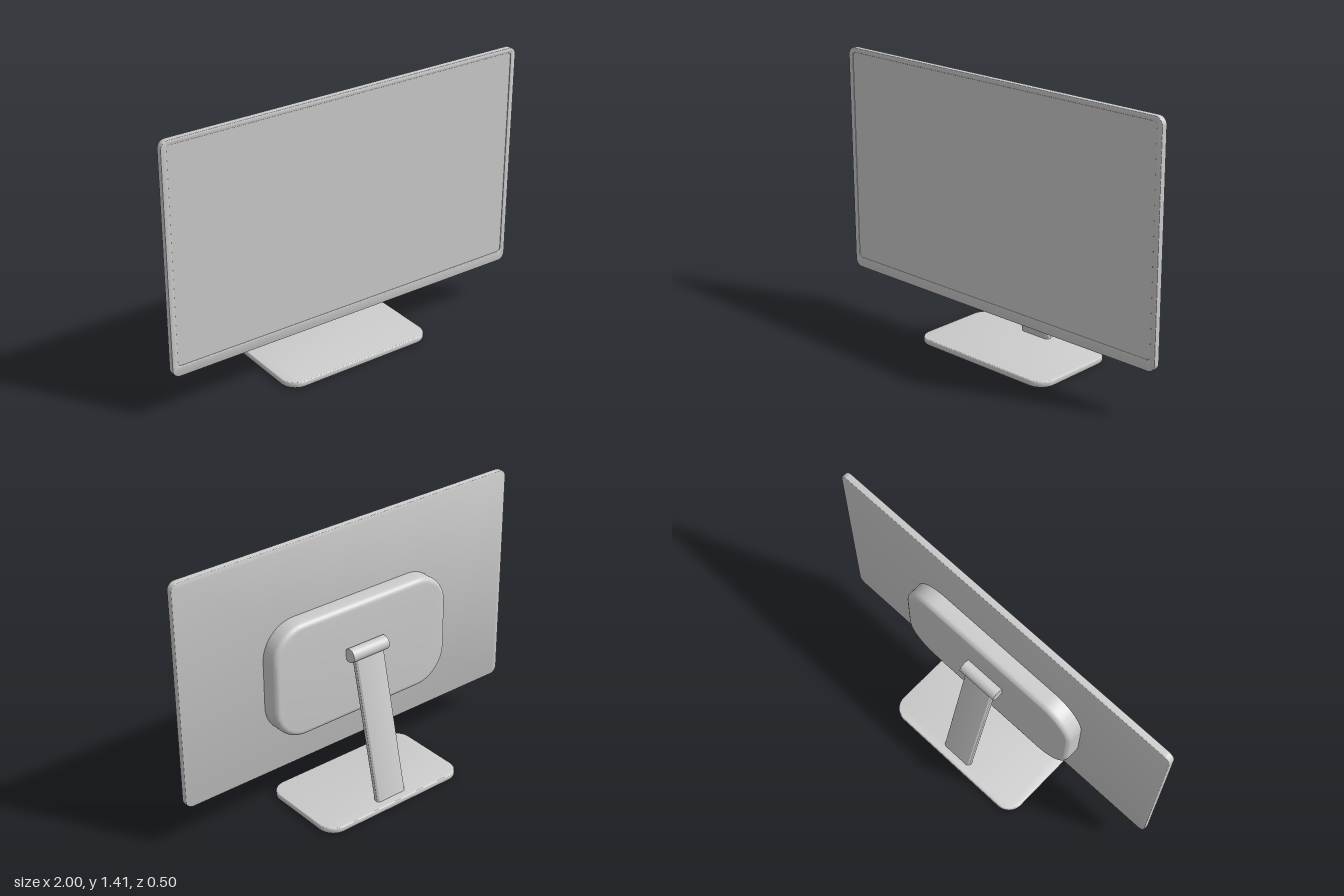
import * as THREE from 'three';
import { toCreasedNormals } from 'three/addons/utils/BufferGeometryUtils.js';

// Rounded rectangle outline centred on the origin
function roundedRect(w, h, r, Type = THREE.Shape) {
  const x = w / 2, y = h / 2, s = new Type();
  s.absarc(x - r, y - r, r, 0, Math.PI / 2);
  s.absarc(-x + r, y - r, r, Math.PI / 2, Math.PI);
  s.absarc(-x + r, -y + r, r, Math.PI, Math.PI * 1.5);
  s.absarc(x - r, -y + r, r, Math.PI * 1.5, Math.PI * 2);
  s.closePath();
  return s;
}

// Slab of overall size w x h, from z0 to z1, with rounded rims
function slab(w, h, r, z0, z1, bevel = 0, hole = null) {
  const shape = roundedRect(w - 2 * bevel, h - 2 * bevel, r - bevel);
  if (hole) shape.holes.push(hole);
  const geo = new THREE.ExtrudeGeometry(shape, {
    depth: z1 - z0 - 2 * bevel, curveSegments: 12,
    bevelEnabled: bevel > 0, bevelThickness: bevel, bevelSize: bevel, bevelSegments: 5,
  });
  geo.translate(0, 0, z0 + bevel);
  return toCreasedNormals(geo, 0.6);
}

export function createModel() {
  const model = new THREE.Group();
  model.name = 'monitor';
  const grey = new THREE.MeshStandardMaterial({ color: 0xcccccc });
  grey.name = 'lightGrey';

  const add = (name, geo, x = 0, y = 0, z = 0) => {
    const mesh = new THREE.Mesh(geo, grey);
    mesh.name = name;
    mesh.position.set(x, y, z);
    model.add(mesh);
    return mesh;
  };

  // Display: back shell, bezel ring and a slightly recessed screen
  const W = 2, H = 1.18, midY = 0.825;
  const screenW = 1.95, screenH = 1.11, screenShift = 0.015;
  const opening = new THREE.Path(
    roundedRect(screenW, screenH, 0.025).getPoints(12).map((p) => p.add(new THREE.Vector2(0, screenShift))),
  );
  add('backShell', slab(W, H, 0.04, 0.108, 0.135, 0.005), 0, midY);
  add('bezel', slab(W, H, 0.04, 0.12, 0.142, 0.004, opening), 0, midY);
  add('screen', slab(screenW, screenH, 0.025, 0.13, 0.138), 0, midY + screenShift);

  // Soft-edged housing on the back
  add('rearHousing', slab(1.064, 0.606, 0.18, 0.016, 0.134, 0.028), 0, 0.735);

  // Hinge barrel
  const hingeY = 0.79, hingeZ = -0.01;
  const barrel = new THREE.CylinderGeometry(0.036, 0.036, 0.22, 32).rotateZ(Math.PI / 2);
  add('hinge', barrel, 0, hingeY, hingeZ);

  // Leaning arm with rounded sides, from base to hinge
  const footY = 0.015, footZ = -0.187;
  const dy = hingeY - footY, dz = hingeZ - footZ;
  const armGeo = slab(0.18, 0.04, 0.0195, 0, Math.hypot(dy, dz)).rotateX(-Math.PI / 2);
  add('arm', armGeo, 0, footY, footZ).rotation.x = Math.atan2(dz, dy);

  // Base plate
  add('base', slab(0.852, 0.495, 0.085, 0, 0.031, 0.007).rotateX(-Math.PI / 2));

  return model;
}
